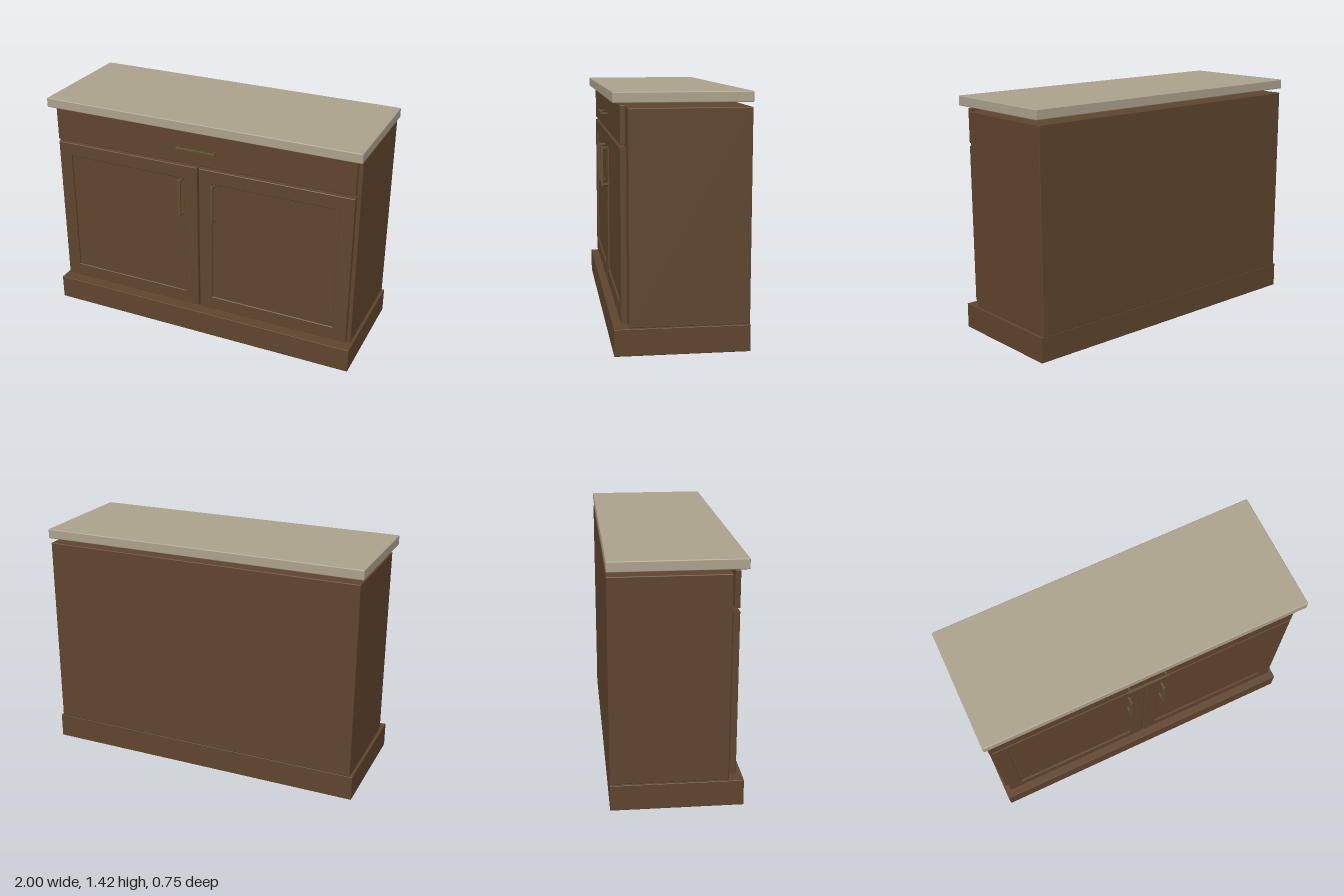
import * as THREE from 'three';
import { RoundedBoxGeometry } from 'three/addons/geometries/RoundedBoxGeometry.js';

const wood = new THREE.MeshStandardMaterial({ color: 0x5f442d });
const stone = new THREE.MeshStandardMaterial({ color: 0xaca28c });
const metal = new THREE.MeshStandardMaterial({ color: 0x5e4f30 });

// Softly eased box given by its lower and upper limits on each axis
function slab(name, [x0, x1], [y0, y1], [z0, z1], material, radius = 0.005) {
  const geometry = new RoundedBoxGeometry(x1 - x0, y1 - y0, z1 - z0, 2, radius);
  const mesh = new THREE.Mesh(geometry, material);
  mesh.position.set((x0 + x1) / 2, (y0 + y1) / 2, (z0 + z1) / 2);
  mesh.name = name;
  return mesh;
}

function rectangle(Type, x0, x1, y0, y1) {
  return new Type([[x0, y0], [x1, y0], [x1, y1], [x0, y1]].map(([x, y]) => new THREE.Vector2(x, y)));
}

// Bar pull along x, centred on its own origin, with two posts reaching back to the door
function createHandle(name, length) {
  const handle = new THREE.Group();
  handle.name = name;
  const half = length / 2;
  handle.add(slab('handleBar', [-half, half], [-0.008, 0.008], [0.361, 0.375], metal, 0.002));
  for (const side of [-1, 1]) {
    const x = side * (half - 0.012);
    handle.add(slab('handlePost', [x - 0.006, x + 0.006], [-0.006, 0.006], [0.322, 0.365], metal, 0.001));
  }
  return handle;
}

// Framed door with a recessed panel; side is +1 for left, -1 for right
function createDoor(name, side) {
  const door = new THREE.Group();
  door.name = name;
  const bevel = 0.003;
  const cx = side * 0.485, cy = 0.65;
  const outer = rectangle(THREE.Shape, -0.479 + bevel, 0.479 - bevel, -0.475 + bevel, 0.475 - bevel);
  outer.holes.push(rectangle(THREE.Path, -0.393 - bevel, 0.393 + bevel, -0.39 - bevel, 0.39 + bevel));
  const frameGeometry = new THREE.ExtrudeGeometry(outer, {
    depth: 0.036 - 2 * bevel, bevelEnabled: true, bevelSize: bevel, bevelThickness: bevel, bevelSegments: 1,
  });
  const frame = new THREE.Mesh(frameGeometry, wood);
  frame.name = 'doorFrame';
  frame.position.set(cx, cy, 0.298 + bevel);
  const panel = new THREE.Mesh(new THREE.BoxGeometry(0.8, 0.79, 0.022), wood);
  panel.name = 'doorPanel';
  panel.position.set(cx, cy, 0.312);
  const handle = createHandle('doorHandle', 0.25);
  handle.rotation.z = Math.PI / 2;
  handle.position.set(side * 0.107, 0.919, 0);
  door.add(frame, panel, handle);
  return door;
}

export function createModel() {
  const model = new THREE.Group();
  model.name = 'cabinet';

  // Base, carcass and worktop
  model.add(
    slab('plinth', [-1, 1], [0, 0.151], [-0.373, 0.375], wood, 0.003),
    slab('carcass', [-0.984, 0.984], [0.151, 1.335], [-0.373, 0.292], wood),
    slab('worktop', [-1, 1], [1.361, 1.42], [-0.373, 0.375], stone, 0.006),
  );

  // Wide drawer front with its pull
  const drawer = new THREE.Group();
  drawer.name = 'drawer';
  const drawerHandle = createHandle('drawerHandle', 0.255);
  drawerHandle.position.y = 1.246;
  drawer.add(slab('drawerFront', [-0.964, 0.964], [1.142, 1.348], [0.304, 0.334], wood, 0.004), drawerHandle);
  model.add(drawer);

  // Pair of doors
  model.add(createDoor('leftDoor', 1), createDoor('rightDoor', -1));
  return model;
}
